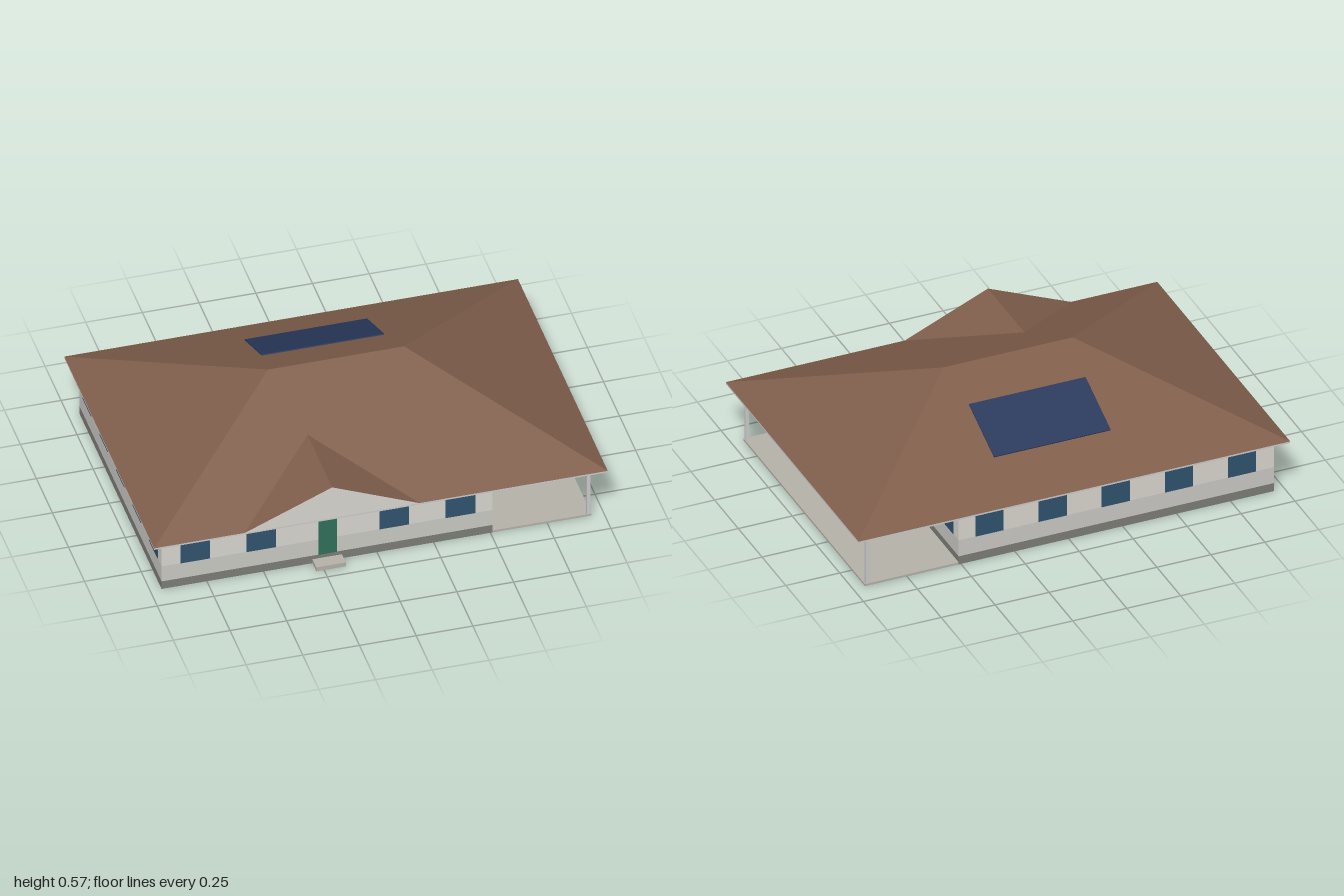
import * as THREE from 'three';

const mat = (color, extra = {}) =>
  new THREE.MeshStandardMaterial({ color, flatShading: true, ...extra });

const M = {
  wall: mat(0xd9d7cf), band: mat(0xcbcac5), plinth: mat(0x7d7d77), slab: mat(0xb4b1a8),
  trim: mat(0xcccccc), roof: mat(0x7f5d4a), glass: mat(0x30536f), door: mat(0x30705c),
  panel: mat(0x28395c), car: mat(0xa85040), cabin: mat(0x7f3c31),
};

// Box given by its min and max along each axis
function box(name, material, [x0, x1], [y0, y1], [z0, z1]) {
  const mesh = new THREE.Mesh(new THREE.BoxGeometry(x1 - x0, y1 - y0, z1 - z0), material);
  mesh.position.set((x0 + x1) / 2, (y0 + y1) / 2, (z0 + z1) / 2);
  mesh.name = name;
  return mesh;
}

// Flat-shaded surface from polygons, corners counter-clockwise seen from outside
function faces(name, material, polygons) {
  const pos = [];
  for (const p of polygons)
    for (let i = 1; i < p.length - 1; i++) pos.push(...p[0], ...p[i], ...p[i + 1]);
  const geo = new THREE.BufferGeometry();
  geo.setAttribute('position', new THREE.Float32BufferAttribute(pos, 3));
  geo.computeVertexNormals();
  const mesh = new THREE.Mesh(geo, material);
  mesh.name = name;
  return mesh;
}

export function createModel() {
  const house = new THREE.Group();
  house.name = 'house';

  // Main dimensions
  const X = [-0.95, 0.51], Z = [-0.64, 0.64];
  const eave = 0.27, ridge = 0.567, rx = 1, rz = 0.7, ridgeX = 0.3;

  // Walls and floor
  house.add(
    box('plinth', M.plinth, X, [0, 0.04], Z),
    box('lowerWall', M.band, X, [0.04, 0.12], Z),
    box('upperWall', M.wall, X, [0.12, 0.262], Z),
    box('carportSlab', M.slab, [0.51, 0.945], [0, 0.01], Z),
    box('frontStep', M.slab, [-0.285, -0.155], [0, 0.021], [0.64, 0.7]),
    box('sideStep', M.slab, [0.51, 0.565], [0, 0.021], [-0.307, -0.205]),
  );

  // Windows and doors: thin leaves just proud of each wall
  const t = 0.002;
  const opening = (side, at, isDoor) => {
    const w = isDoor ? 0.04 : 0.065;
    const y = isDoor ? [0.04, 0.22] : [0.12, 0.23];
    const span = [at - w, at + w];
    const plane = { front: Z[1], back: Z[0], left: X[1], right: X[0] }[side];
    const depth = [plane - t, plane + t];
    const along = side === 'front' || side === 'back';
    house.add(box(side + (isDoor ? 'Door' : 'Window'), isDoor ? M.door : M.glass,
      along ? span : depth, y, along ? depth : span));
  };
  for (let i = -2; i <= 2; i++) {
    const x = -0.2175 + i * 0.2925, z = i * 0.259;
    opening('front', x, i === 0);
    opening('back', x, false);
    opening('left', z, i === -1);
    opening('right', z, false);
  }

  // Carport posts
  for (const s of [-1, 1]) {
    const post = box('carportPost', M.trim, [0.925, 0.94], [0.01, 0.262], [-0.0075, 0.0075]);
    post.position.z = s * 0.634;
    house.add(post);
  }

  // Eave board and hipped roof
  house.add(box('eaveBoard', M.trim, [-rx, rx], [0.262, eave], [-rz, rz]));
  const FL = [-rx, eave, rz], FR = [rx, eave, rz], BL = [-rx, eave, -rz], BR = [rx, eave, -rz];
  const RL = [-ridgeX, ridge, 0], RR = [ridgeX, ridge, 0];
  house.add(faces('hipRoof', M.roof, [[FL, FR, RR, RL], [BR, BL, RL, RR], [FR, BR, RR], [BL, FL, RL]]));

  // Front gable, its ridge running back into the main slope
  const A = [-0.6, eave, rz], B = [0.17, eave, rz];
  const P = [-0.215, 0.433, rz], Q = [-0.215, 0.433, 0.316];
  house.add(
    faces('gableRoof', mat(0x7f5d4a, { side: THREE.DoubleSide }), [[A, P, Q], [B, Q, P]]),
    faces('gableWall', M.wall, [[A, B, P].map(([x, y, z]) => [x, y, z + 0.0005])]),
  );

  // Solar panel parallel to the back slope
  const panel = new THREE.Mesh(new THREE.BoxGeometry(0.54, 0.005, 0.288), M.panel);
  panel.name = 'solarPanel';
  panel.rotation.x = -Math.atan2(ridge - eave, rz);
  panel.position.set(0, 0.434, -0.335);
  house.add(panel);

  // Parked car
  const car = new THREE.Group();
  car.name = 'car';
  car.add(
    box('carBody', M.car, [0.64, 0.8], [0.03, 0.097], [-0.185, 0.247]),
    box('carCabin', M.cabin, [0.655, 0.79], [0.097, 0.138], [-0.063, 0.11]),
  );
  house.add(car);

  return house;
}
